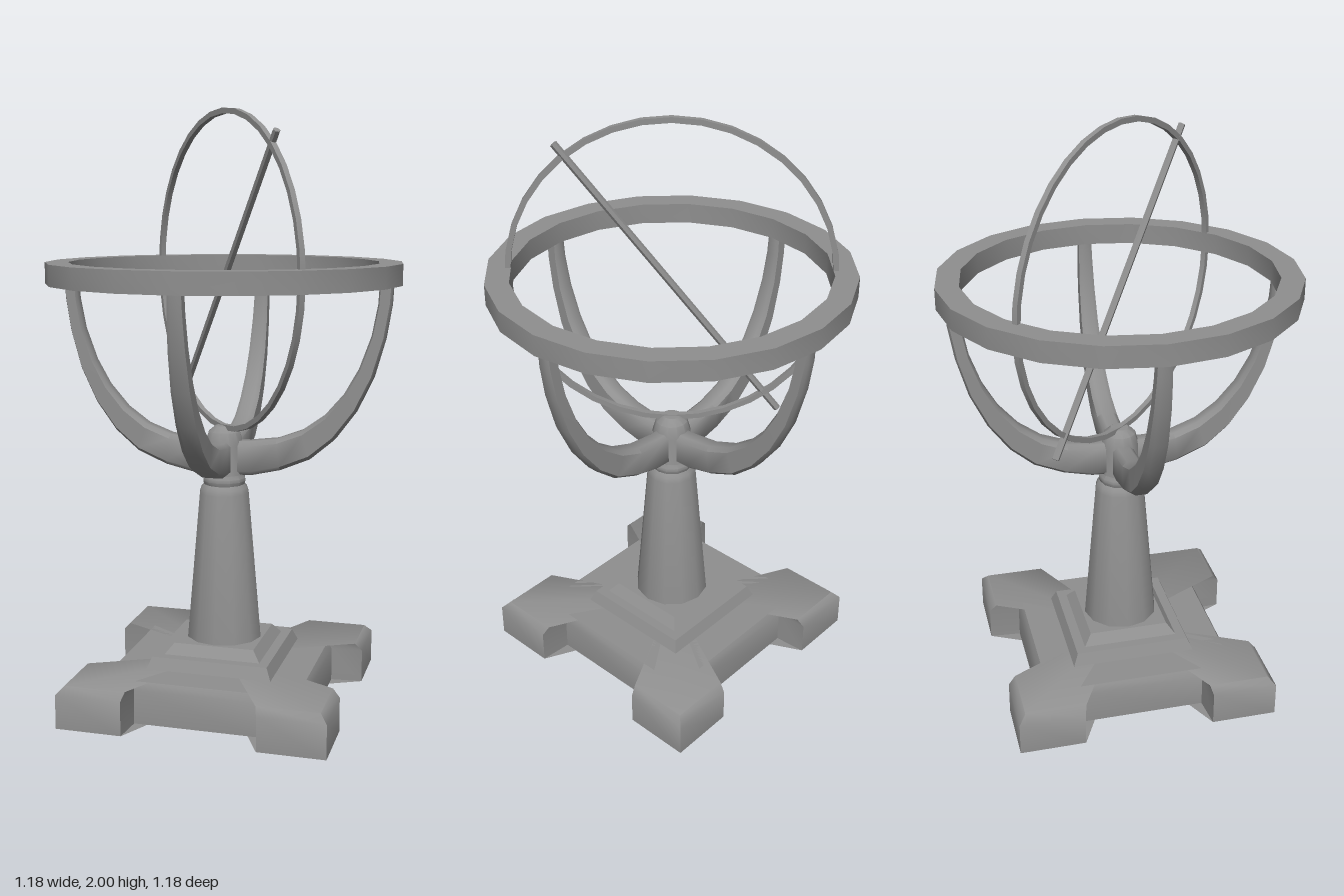
import * as THREE from 'three';
import { toCreasedNormals } from 'three/addons/utils/BufferGeometryUtils.js';

const material = new THREE.MeshStandardMaterial({ color: 0x8f8f8f });

// Joins equal closed cross-sections into a skin; capped ends are fans around a centre point
function loft(sections, crease, capped) {
  const n = sections[0].length;
  const positions = sections.flat(2);
  const index = [];
  for (let i = 0; i < sections.length - 1; i++) {
    for (let k = 0; k < n; k++) {
      const a = i * n + k, b = i * n + (k + 1) % n;
      index.push(a, a + n, b + n, a, b + n, b);
    }
  }
  if (capped) {
    const last = sections.length - 1;
    const centre = n * sections.length;
    positions.push(0, sections[0][0][1], 0, 0, sections[last][0][1], 0);
    for (let k = 0; k < n; k++) {
      const next = (k + 1) % n;
      index.push(centre, k, next, centre + 1, last * n + next, last * n + k);
    }
  }
  const g = new THREE.BufferGeometry();
  g.setAttribute('position', new THREE.Float32BufferAttribute(positions, 3));
  g.setIndex(index);
  return toCreasedNormals(g, crease);
}

// Base outline at height y: a square whose corners reach out as feet
function baseOutline(y, foot, inner, slab) {
  const corner = [[slab, 0.215], [foot, inner], [foot, foot], [inner, foot], [0.215, slab]];
  const points = [];
  for (let q = 0; q < 4; q++) {
    for (const [x, z] of corner) {
      points.push([[x, y, z], [-z, y, x], [-x, y, -z], [z, y, -x]][q]);
    }
  }
  return points;
}

// Square step narrowing from half width a to half width b
function stepGeometry(a, b, y, height) {
  const g = new THREE.CylinderGeometry(b * Math.SQRT2, a * Math.SQRT2, height, 4);
  g.rotateY(Math.PI / 4);
  g.translate(0, y + height / 2, 0);
  return toCreasedNormals(g, 0.5);
}

// Ring of rectangular section around the y axis
function ringGeometry(inner, outer, y0, y1, segments) {
  const rim = [[inner, y0], [outer, y0], [outer, y1], [inner, y1], [inner, y0]];
  const g = new THREE.LatheGeometry(rim.map(([r, y]) => new THREE.Vector2(r, y)), segments);
  return toCreasedNormals(g, 0.6);
}

// Curved, tapering arm: each station is outer x, outer y, inner x, inner y, half width
function armGeometry() {
  const stations = [
    [0.0, 0.785, 0.0, 0.9, 0.036],
    [0.1, 0.787, 0.09, 0.902, 0.036],
    [0.2, 0.81, 0.185, 0.914, 0.036],
    [0.3, 0.852, 0.27, 0.946, 0.035],
    [0.38, 0.92, 0.345, 1.0, 0.034],
    [0.45, 1.015, 0.41, 1.075, 0.032],
    [0.505, 1.13, 0.458, 1.16, 0.03],
    [0.542, 1.26, 0.497, 1.268, 0.027],
    [0.56, 1.37, 0.516, 1.37, 0.024],
    [0.564, 1.44, 0.52, 1.44, 0.022],
  ];
  // Chamfered rectangular section
  const section = [[1, -0.55], [1, 0.55], [0.75, 1], [-0.75, 1], [-1, 0.55], [-1, -0.55], [-0.75, -1], [0.75, -1]];
  const sections = stations.map(([ox, oy, ix, iy, w]) => section.map(([s, t]) => {
    const f = (s + 1) / 2;
    return [ix + (ox - ix) * f, iy + (oy - iy) * f, t * w];
  }));
  return loft(sections, 0.9, false);
}

export function createModel() {
  const group = new THREE.Group();
  const add = (name, geometry) => {
    const mesh = new THREE.Mesh(geometry, material);
    mesh.name = name;
    group.add(mesh);
    return mesh;
  };

  // One-piece base with four corner feet and softened upper edges
  add('base', loft([
    baseOutline(0, 0.448, 0.224, 0.34),
    baseOutline(0.115, 0.448, 0.224, 0.34),
    baseOutline(0.141, 0.424, 0.216, 0.326),
  ], 0.85, true));

  // Stepped plinth
  add('lowerStep', stepGeometry(0.215, 0.198, 0.141, 0.04));
  add('upperStep', stepGeometry(0.165, 0.138, 0.181, 0.034));

  // Tapered column with a slim neck and a domed hub
  const profile = [
    [0, 0.2], [0.13, 0.21], [0.086, 0.72], [0.08, 0.738], [0.07, 0.75], [0.074, 0.762],
    [0.073, 0.772], [0.066, 0.785], [0.067, 0.885], [0.054, 0.93], [0.03, 0.95], [0, 0.952],
  ].map(([r, y]) => new THREE.Vector2(r, y));
  add('column', toCreasedNormals(new THREE.LatheGeometry(profile, 12), 0.6));

  // Four arms carrying the horizontal ring
  const arm = armGeometry();
  for (let i = 0; i < 4; i++) add('supportArm', arm).rotation.y = i * Math.PI / 2;
  add('horizonRing', ringGeometry(0.515, 0.592, 1.43, 1.5, 20));

  // Thin upright ring, turned to the diagonal
  const hoop = add('uprightRing', ringGeometry(0.513, 0.531, -0.009, 0.009, 36).rotateX(Math.PI / 2));
  hoop.position.y = 1.466;
  hoop.rotation.y = -Math.atan2(0.4, 0.35);

  // Slanting pointer rod in the plane of the upright ring
  const tip = new THREE.Vector3(0.236, 0.465, 0.266);
  const rodGeometry = new THREE.CylinderGeometry(0.012, 0.012, tip.length() * 2, 6);
  const rod = add('pointerRod', toCreasedNormals(rodGeometry, 0.5));
  rod.position.y = 1.445;
  rod.quaternion.setFromUnitVectors(new THREE.Vector3(0, 1, 0), tip.clone().normalize());

  return group;
}
